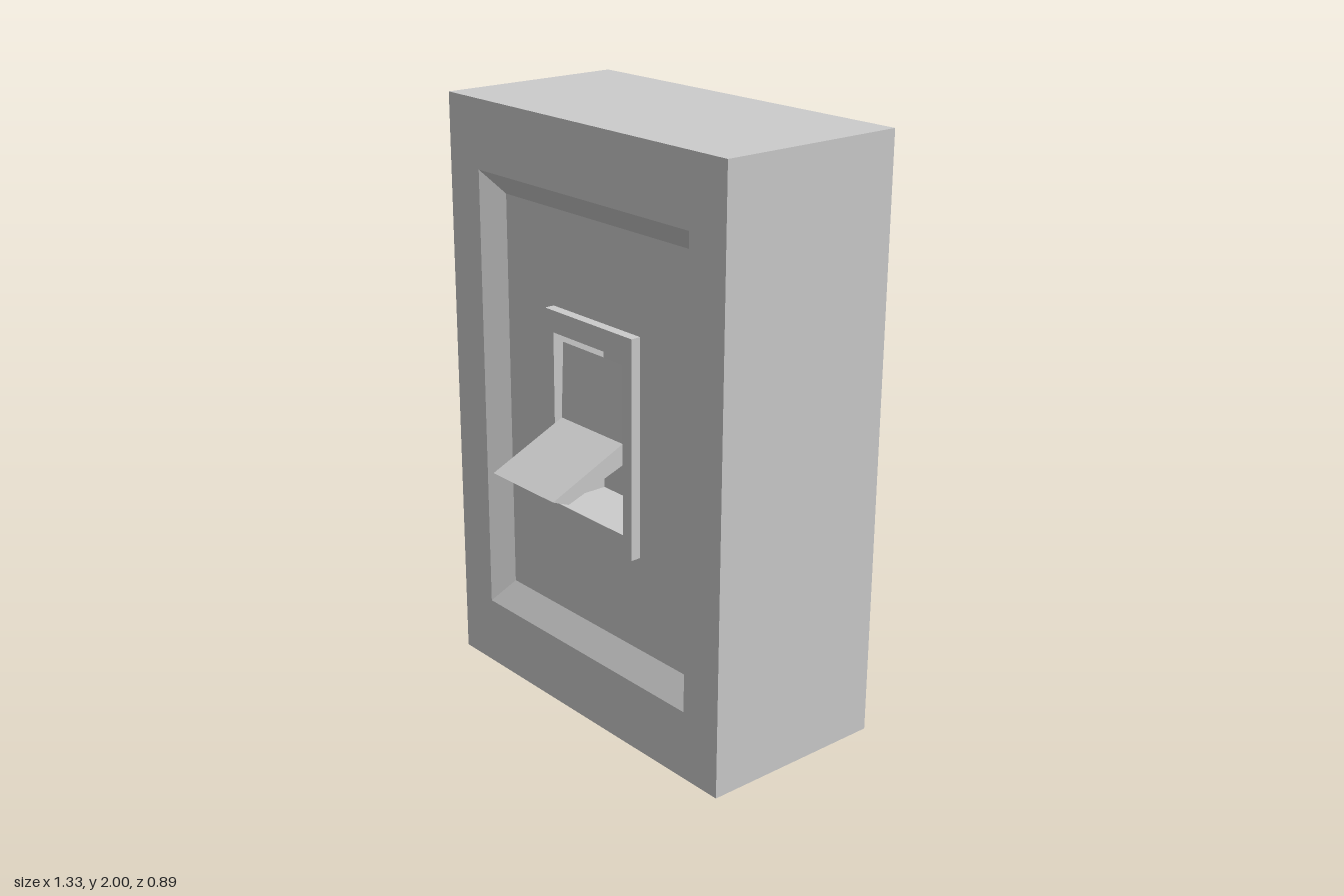
import * as THREE from 'three';

const material = new THREE.MeshStandardMaterial({ color: 0xcccccc, flatShading: true, side: THREE.DoubleSide });

// Rectangular cross-section: half width, bottom, top, depth position
const rect = (w, y0, y1, z) => [[-w, y0, z], [w, y0, z], [w, y1, z], [-w, y1, z]];

// Thin shell joining successive rectangles, optionally closed at the last one
function shell(name, sections, closed = false) {
  const points = [];
  const quad = (a, b, c, d) => points.push(...a, ...b, ...c, ...a, ...c, ...d);
  for (let s = 0; s + 1 < sections.length; s++) {
    const a = sections[s], b = sections[s + 1];
    for (let i = 0; i < 4; i++) {
      const j = (i + 1) % 4;
      quad(a[i], a[j], b[j], b[i]);
    }
  }
  if (closed) quad(...sections[sections.length - 1]);
  const geometry = new THREE.BufferGeometry();
  geometry.setAttribute('position', new THREE.Float32BufferAttribute(points, 3));
  geometry.computeVertexNormals();
  const mesh = new THREE.Mesh(geometry, material);
  mesh.name = name;
  return mesh;
}

export function createModel() {
  const group = new THREE.Group();
  group.name = 'wallSwitch';

  const recessRim = rect(0.51, 0.235, 1.77, 0.22);
  const recessFloor = rect(0.46, 0.31, 1.69, 0.15);
  const plateBase = rect(0.215, 0.635, 1.37, 0.15);
  const plateFront = rect(0.215, 0.635, 1.37, 0.185);
  const wellRim = rect(0.173, 0.71, 1.297, 0.185);
  const wellBack = rect(0.173, 0.71, 1.297, -0.02);

  group.add(
    // Outer box, open at the back, with its front border
    shell('housing', [rect(0.665, 0, 2, -0.443), rect(0.665, 0, 2, 0.22), recessRim]),
    // Bevelled recess and its flat panel
    shell('recessedPanel', [recessRim, recessFloor, plateBase]),
    // Raised frame around the switch
    shell('switchFrame', [plateBase, plateFront, wellRim]),
    // Closed pocket holding the rocker
    shell('switchWell', [wellRim, wellBack], true),
  );

  // Bent rocker: profile points are (z, y), extruded across x
  const profile = [[0.16, 1.265], [0.10, 1.225], [0.11, 0.96], [0.385, 0.863], [0.445, 0.887], [0.17, 1.01]];
  const shape = new THREE.Shape(profile.map(([z, y]) => new THREE.Vector2(z, y)));
  const width = 0.31;
  const geometry = new THREE.ExtrudeGeometry(shape, { depth: width, bevelEnabled: false });
  geometry.translate(0, 0, -width / 2).rotateY(-Math.PI / 2);
  const rocker = new THREE.Mesh(geometry, material);
  rocker.name = 'rocker';
  group.add(rocker);

  return group;
}
